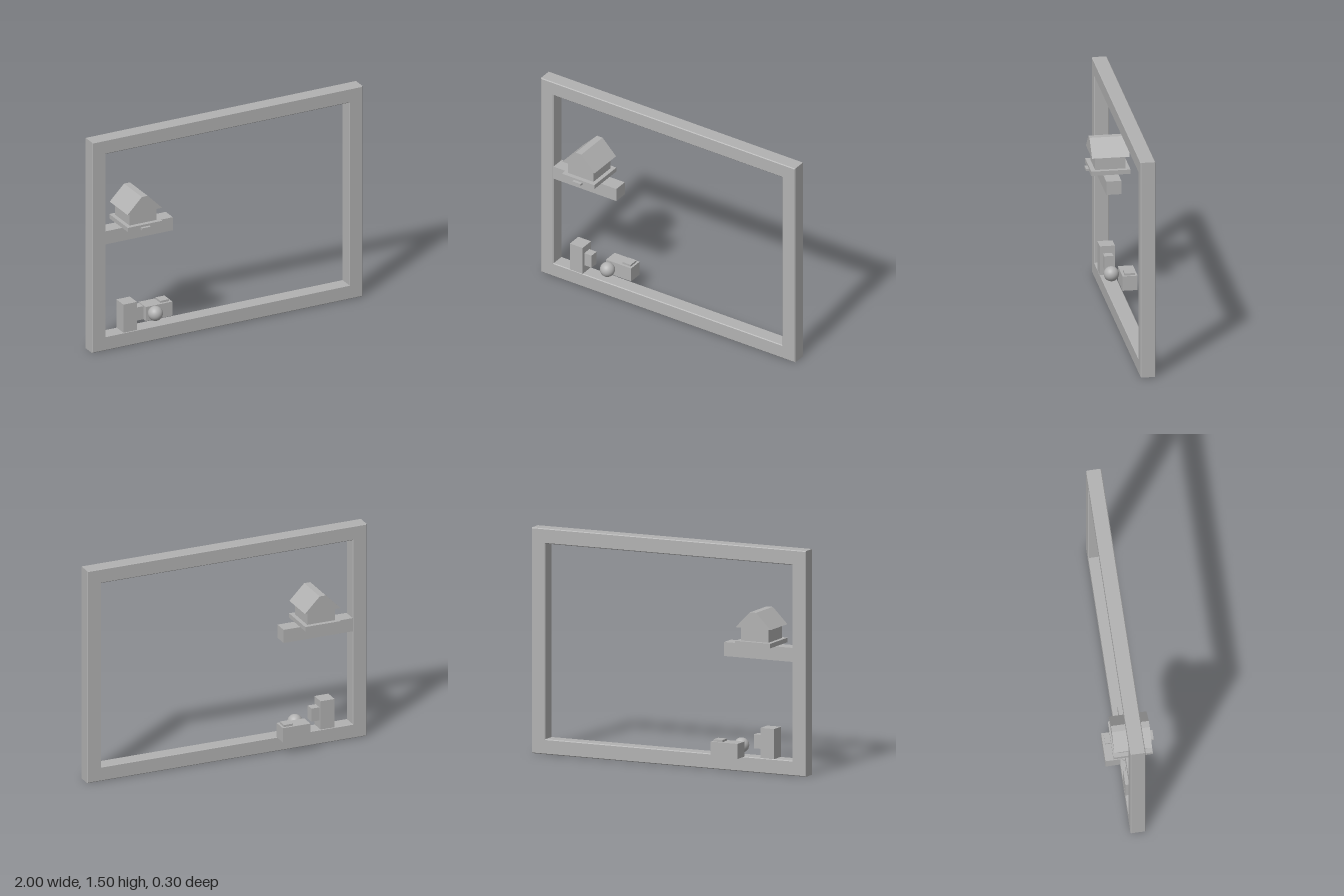
import * as THREE from 'three';

const grey = new THREE.MeshStandardMaterial({ color: 0xb2b2b2 });
grey.name = 'plain grey';

function add(parent, name, geometry) {
  const mesh = new THREE.Mesh(geometry, grey);
  mesh.name = name;
  parent.add(mesh);
  return mesh;
}

// Box given by its low and high corner on each axis
function box(parent, name, [x0, x1], [y0, y1], [z0, z1]) {
  const mesh = add(parent, name, new THREE.BoxGeometry(x1 - x0, y1 - y0, z1 - z0));
  mesh.position.set((x0 + x1) / 2, (y0 + y1) / 2, (z0 + z1) / 2);
  return mesh;
}

const outline = (points) => points.map(([x, y]) => new THREE.Vector2(x, y));
const rect = (x, y0, y1) => outline([[-x, y0], [x, y0], [x, y1], [-x, y1]]);

export function createModel() {
  const model = new THREE.Group();
  model.name = 'framedShelf';

  // Rectangular frame with slightly bevelled edges
  const bevel = 0.005;
  const frame = new THREE.Shape(rect(1 - bevel, bevel, 1.5 - bevel));
  frame.holes.push(new THREE.Path(rect(0.9 + bevel, 0.1 - bevel, 1.4 + bevel).reverse()));
  const frameGeometry = new THREE.ExtrudeGeometry(frame, {
    depth: 0.1 - 2 * bevel, bevelSize: bevel, bevelThickness: bevel, bevelSegments: 1,
  });
  frameGeometry.translate(0, 0, -0.05 + bevel);
  add(model, 'frame', frameGeometry);

  // Shelf fixed to the right post
  box(model, 'shelf', [-0.902, -0.405], [0.757, 0.85], [-0.05, 0.05]);

  // Little house on the shelf
  const house = new THREE.Group();
  house.name = 'house';
  house.position.set(-0.652, 0.85, 0);
  model.add(house);
  box(house, 'houseBase', [-0.128, 0.128], [0, 0.03], [-0.13, 0.13]);
  box(house, 'doorStep', [-0.033, 0.033], [0, 0.015], [0.1, 0.15]);
  box(house, 'houseWalls', [-0.1, 0.1], [0.03, 0.12], [-0.1, 0.1]);
  const gable = new THREE.Shape(outline([[-0.128, 0.12], [0.128, 0.12], [0.022, 0.227], [-0.022, 0.227]]));
  const roof = add(house, 'roof', new THREE.ExtrudeGeometry(gable, { depth: 0.25, bevelEnabled: false }));
  roof.position.z = -0.125;

  // Mug with a block handle
  box(model, 'mugBody', [-0.77, -0.67], [0.1, 0.3], [-0.05, 0.05]);
  box(model, 'mugHandle', [-0.67, -0.613], [0.157, 0.25], [-0.03, 0.03]);

  // Ball
  add(model, 'ball', new THREE.SphereGeometry(0.05, 32, 20)).position.set(-0.508, 0.166, 0);

  // Case behind the lower bar, with a button on top
  box(model, 'case', [-0.552, -0.355], [0.1, 0.2], [-0.15, -0.05]);
  box(model, 'caseButton', [-0.435, -0.37], [0.2, 0.214], [-0.135, -0.067]);

  return model;
}
